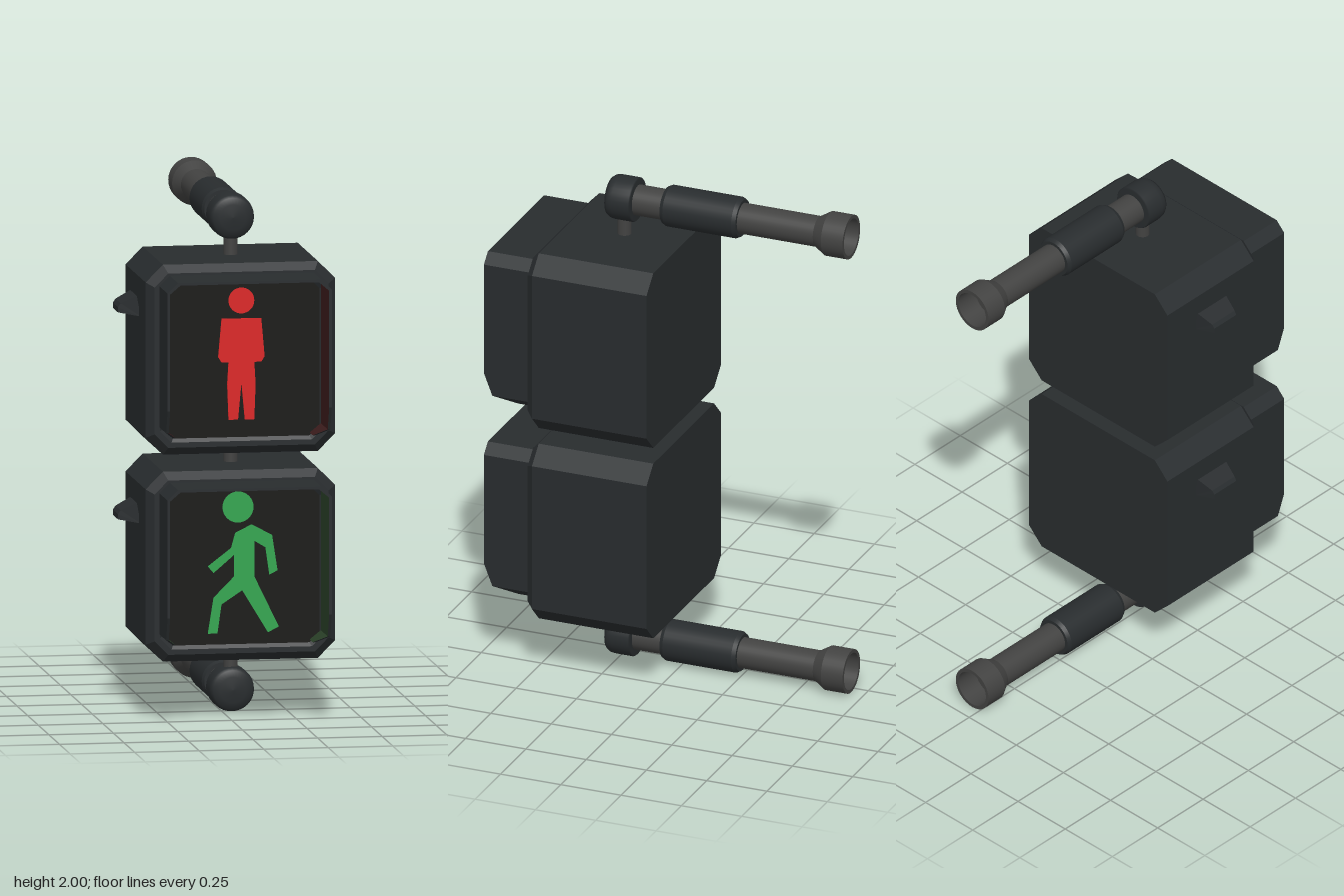
import * as THREE from 'three';

const mat = (color, double = false) => new THREE.MeshStandardMaterial({
  color, side: double ? THREE.DoubleSide : THREE.FrontSide });
const SHELL = 0x282c2e, TUBE = 0x424241, SCREEN = 0x181715;
const CX = 0.037;

function add(parent, name, geometry, material) {
  const mesh = new THREE.Mesh(geometry, material);
  mesh.name = name;
  parent.add(mesh);
  return mesh;
}

// Joins equal-length cross-sections into a faceted skin
function loft(rings, closed, capStart = false) {
  const pos = [], n = rings[0].length;
  const tri = (...pts) => pts.forEach(p => pos.push(...p));
  for (let r = 0; r < rings.length - 1; r++) {
    for (let i = 0; i < (closed ? n : n - 1); i++) {
      const j = (i + 1) % n, a = rings[r], b = rings[r + 1];
      tri(a[i], a[j], b[j]);
      tri(a[i], b[j], b[i]);
    }
  }
  if (capStart) for (let i = 1; i < n - 1; i++) tri(rings[0][0], rings[0][i + 1], rings[0][i]);
  const g = new THREE.BufferGeometry();
  g.setAttribute('position', new THREE.Float32BufferAttribute(pos, 3));
  g.computeVertexNormals();
  return g;
}

// Square with cut corners, counter-clockwise
const octagon = (h, c, z) => [
  [h, c - h, z], [h, h - c, z], [h - c, h, z], [c - h, h, z],
  [-h, h - c, z], [-h, c - h, z], [c - h, -h, z], [h - c, -h, z]];

// Points in hundredths of a unit
const outline = pts => new THREE.Shape(pts.map(([x, y]) => new THREE.Vector2(x / 100, y / 100)));

const standHalf = [[0, -9.3], [-1.3, -23.5], [-5, -23.5], [-5.5, -9.8], [-5, -1.3],
  [-7.7, -1.3], [-9, 0.8], [-7.7, 15.6]];
const standing = [...standHalf, ...standHalf.slice(1).reverse().map(([x, y]) => [-x, y])];
const walking = [[-2.4, 12.7], [4, 15.9], [11.9, 11.6], [14, -2.1], [10.8, -3.7], [9.3, 6.9],
  [5, 9.5], [5, -4.2], [14.5, -23.8], [10.3, -26], [0.3, -9.5], [-7.7, -14.8], [-9.3, -26],
  [-13, -26], [-10.8, -12.2], [-2.9, -4.2], [-2.9, 4.2], [-10.8, -2.6], [-13, 0], [-4, 6.9]];

// Visor: open below, side walls cut back towards the bottom; x, y, front z
function visorRing(t, front) {
  const half = [[0.275, -0.292, 0.57], [0.318, -0.257, 0.66], [0.318, -0.167, 0.695],
    [0.318, 0.288, 0.695], [0.278, 0.328, 0.695]];
  const right = half.map(([x, y, z], i) =>
    [x - t, y - (i > 3 ? t : i === 3 ? t * 0.4 : 0), front ? z : 0.495]);
  return [...right, ...right.slice().reverse().map(([x, y, z]) => [-x, y, z])];
}

function createLamp(name, y, figure, head, color, linerColor) {
  const lamp = new THREE.Group();
  lamp.name = name;
  lamp.position.set(CX, y, 0);

  // Housing with bevelled front and shallow recess
  add(lamp, 'housing', loft([
    octagon(0.367, 0.067, 0), octagon(0.367, 0.067, 0.475), octagon(0.337, 0.053, 0.505),
    octagon(0.317, 0.045, 0.505), octagon(0.302, 0.038, 0.495)], true, true), mat(SHELL));
  const face = octagon(30.3, 3.8, 0);
  add(lamp, 'screen', new THREE.ShapeGeometry(outline(face)), mat(SCREEN)).position.z = 0.4955;

  // Lit figure
  const depth = { depth: 0.004, bevelEnabled: false };
  add(lamp, 'figureBody', new THREE.ExtrudeGeometry(outline(figure), depth), mat(color))
    .position.z = 0.496;
  const disc = add(lamp, 'figureHead', new THREE.CylinderGeometry(head[2], head[2], 0.004, 32), mat(color));
  disc.rotation.x = Math.PI / 2;
  disc.position.set(head[0], head[1], 0.498);

  // Visor shell and tinted inside
  const t = 0.01;
  add(lamp, 'visor', loft([visorRing(0, false), visorRing(0, true), visorRing(t, true)], false),
    mat(SHELL, true));
  add(lamp, 'visorLiner', loft([visorRing(t, true), visorRing(t, false)], false),
    mat(linerColor, true));

  // Side latch, narrowing outwards
  const profile = outline([[-36, 14.5], [-37.5, 22.5], [-43.5, 19.5], [-44.5, 18], [-44.5, 16]]
    .map(([x, v]) => [x, v]));
  const latch = new THREE.ExtrudeGeometry(profile, { depth: 0.16, bevelEnabled: false });
  const p = latch.attributes.position;
  for (let i = 0; i < p.count; i++) {
    const k = 1 - 0.25 * THREE.MathUtils.clamp((-p.getX(i) - 0.367) / 0.075, 0, 1);
    p.setZ(i, 0.238 + (p.getZ(i) - 0.08) * k);
  }
  latch.computeVertexNormals();
  add(lamp, 'latch', latch, mat(SHELL, true));
  return lamp;
}

// Turned part along z; points are [radius, z], each span kept crisp
function turned(parent, name, pts, color, double) {
  const part = new THREE.Group();
  part.name = name;
  for (let i = 0; i < pts.length - 1; i++) {
    const g = new THREE.LatheGeometry([pts[i], pts[i + 1]].map(([r, z]) => new THREE.Vector2(r, z)), 32);
    g.rotateX(Math.PI / 2);
    add(part, name + 'Surface', g, mat(color, double));
  }
  parent.add(part);
}

function createArm(name, y) {
  const arm = new THREE.Group();
  arm.name = name;
  arm.position.set(CX, y, 0);
  turned(arm, 'tube', [[0.06, -0.56], [0.06, 0.2]], TUBE, true);
  turned(arm, 'flaredSocket', [[0, -0.6], [0.073, -0.6], [0.073, -0.695], [0.087, -0.695],
    [0.087, -0.605], [0.06, -0.56]], TUBE, true);
  turned(arm, 'sleeve', [[0.06, -0.245], [0.073, -0.245], [0.081, -0.23], [0.081, 0.055],
    [0.073, 0.07], [0.06, 0.07]], SHELL, true);
  // Rounded end cap
  const cap = new THREE.LatheGeometry([[0, 0.19], [0.083, 0.19], [0.087, 0.195], [0.087, 0.265],
    [0.084, 0.285], [0.075, 0.298], [0.05, 0.305], [0, 0.308]]
    .map(([r, z]) => new THREE.Vector2(r, z)), 32);
  cap.rotateX(Math.PI / 2);
  add(arm, 'endCap', cap, mat(SHELL, true));
  return arm;
}

export function createModel() {
  const model = new THREE.Group();
  model.name = 'pedestrianSignal';
  model.add(
    createLamp('stopLamp', 1.397, standing, [0, 0.225, 0.05], 0xdc2626, 0x3c1c1c),
    createLamp('walkLamp', 0.597, walking, [-0.013, 0.227, 0.06], 0x33a650, 0x2a4028),
    createArm('upperArm', 1.913),
    createArm('lowerArm', 0.087));

  // Short rods joining arms and lamps
  for (const [name, y0, y1] of [['upperRod', 1.75, 1.88], ['middleRod', 0.95, 1.04], ['lowerRod', 0.12, 0.24]]) {
    const rod = add(model, name, new THREE.CylinderGeometry(0.027, 0.027, y1 - y0, 24), mat(TUBE));
    rod.position.set(CX, (y0 + y1) / 2, 0.245);
  }
  return model;
}
